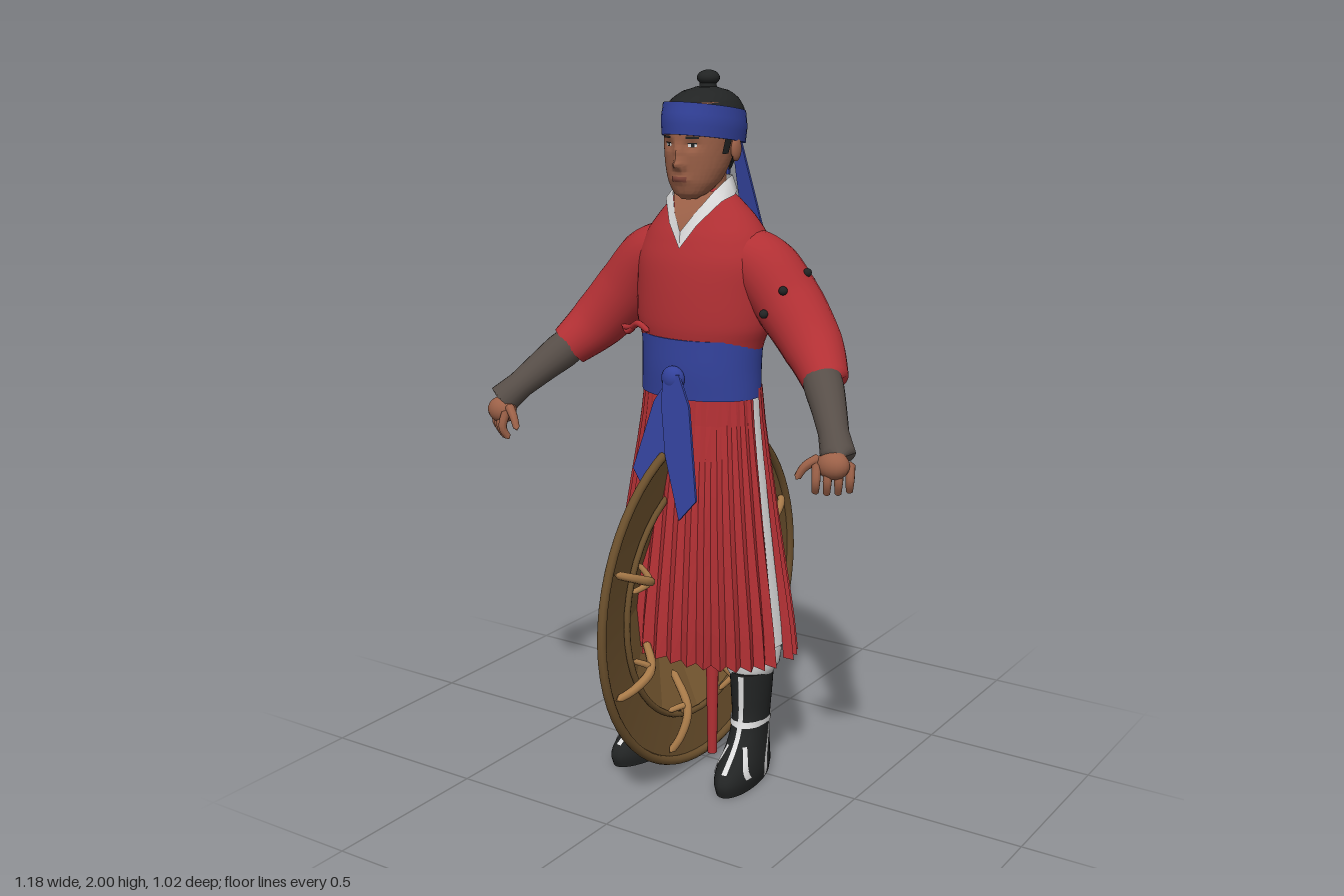
import * as THREE from 'three';
import { toCreasedNormals } from 'three/addons/utils/BufferGeometryUtils.js';

const mat = (name, color, side = THREE.FrontSide) => {
  const m = new THREE.MeshStandardMaterial({ color, side });
  m.name = name;
  return m;
};
const V = (x, y, z) => new THREE.Vector3(x, y, z);
const PI = Math.PI;
const bell = (x) => Math.exp(-x * x);

// Interpolate section rows [y, cx, cz, rx, rz] smoothly at height y
function section(rows, y) {
  let i = 0;
  while (i < rows.length - 2 && y > rows[i + 1][0]) i++;
  const f = (y - rows[i][0]) / (rows[i + 1][0] - rows[i][0]);
  const at = (k, c) => rows[Math.min(rows.length - 1, Math.max(0, k))][c];
  return [1, 2, 3, 4].map((c) => {
    const [p0, p1, p2, p3] = [at(i - 1, c), at(i, c), at(i + 1, c), at(i + 2, c)];
    return p1 + 0.5 * f * (p2 - p0 + f * (2 * p0 - 5 * p1 + 4 * p2 - p3 + f * (3 * (p1 - p2) + p3 - p0)));
  });
}

// Vertical loft of ellipses; angle 0 is the front, PI/2 is +x. A partial angle gives an open patch.
function loft(rows, o = {}) {
  const { y0 = rows[0][0], y1 = rows.at(-1)[0], a0 = -PI, a1 = PI, nu = 40, nv = 20, grow = 0, warp } = o;
  const closed = a1 - a0 > 2 * PI - 0.001;
  const cols = closed ? nu : nu + 1;
  const pos = [], idx = [];
  for (let i = 0; i <= nv; i++) {
    const y = y0 + (y1 - y0) * i / nv;
    const [cx, cz, rx, rz] = section(rows, y);
    for (let j = 0; j < cols; j++) {
      const a = a0 + (a1 - a0) * j / nu;
      const v = V(cx + (rx + grow) * Math.sin(a), y, cz + (rz + grow) * Math.cos(a));
      if (warp) warp(v, a, i / nv);
      pos.push(v.x, v.y, v.z);
    }
  }
  for (let i = 0; i < nv; i++) for (let j = 0; j < nu; j++) {
    const a = i * cols + j, b = i * cols + (j + 1) % cols;
    idx.push(a, b, b + cols, a, b + cols, a + cols);
  }
  if (closed && o.cap) for (const [row, y, flip] of [[0, y0, true], [nv, y1, false]]) {
    const [cx, cz] = section(rows, y), c = pos.length / 3;
    pos.push(cx, y, cz);
    for (let j = 0; j < nu; j++) {
      const a = row * cols + j, b = row * cols + (j + 1) % cols;
      idx.push(c, flip ? b : a, flip ? a : b);
    }
  }
  const g = new THREE.BufferGeometry();
  g.setAttribute('position', new THREE.Float32BufferAttribute(pos, 3));
  g.setIndex(idx);
  g.computeVertexNormals();
  return o.cap ? toCreasedNormals(g, 0.9) : g;
}

// Tube of varying radius with closed ends
function limb(points, radii, steps = 24, sides = 16) {
  const curve = new THREE.CatmullRomCurve3(points.map((p) => V(...p)));
  const g = new THREE.TubeGeometry(curve, steps, 1, sides);
  const p = g.attributes.position, v = V(0, 0, 0);
  for (let i = 0; i <= steps; i++) {
    const c = curve.getPointAt(i / steps), t = i / steps * (radii.length - 1);
    const k = Math.min(radii.length - 2, Math.floor(t));
    const r = i === 0 || i === steps ? 0 : THREE.MathUtils.lerp(radii[k], radii[k + 1], t - k);
    for (let j = 0; j <= sides; j++) {
      const n = i * (sides + 1) + j;
      v.fromBufferAttribute(p, n).sub(c).multiplyScalar(r).add(c);
      p.setXYZ(n, v.x, v.y, v.z);
    }
  }
  return g;
}

// Thin cloth plate from an outline, its depth z following height
function cloth(outline, zAt) {
  const g = new THREE.ExtrudeGeometry(new THREE.Shape(outline.map((p) => new THREE.Vector2(...p))), { depth: 0.008, bevelEnabled: false });
  const p = g.attributes.position;
  for (let i = 0; i < p.count; i++) p.setZ(i, p.getZ(i) + zAt(p.getY(i)));
  g.computeVertexNormals();
  return g;
}

// Strip between two polylines of equal length
function ribbon(a, b) {
  const g = new THREE.BufferGeometry(), idx = [];
  g.setAttribute('position', new THREE.Float32BufferAttribute([...a, ...b].flat(), 3));
  for (let i = 0; i < a.length - 1; i++) idx.push(i, i + 1, i + 1 + a.length, i, i + 1 + a.length, i + a.length);
  g.setIndex(idx);
  g.computeVertexNormals();
  return g;
}

export function createModel() {
  const red = mat('red cloth', 0xb23034, THREE.DoubleSide), blue = mat('blue cloth', 0x33429c, THREE.DoubleSide);
  const white = mat('white cloth', 0xdcdcdc, THREE.DoubleSide), black = mat('black', 0x222424, THREE.DoubleSide);
  const skin = mat('skin', 0x9c6148, THREE.DoubleSide), lip = mat('lips', 0x7e4438, THREE.DoubleSide);
  const wrap = mat('arm wrap', 0x574e48), wood = mat('shield wood', 0x6a4f2c, THREE.DoubleSide);
  const woodLight = mat('shield centre wood', 0x7c5c33, THREE.DoubleSide), stick = mat('light wood', 0xa97b49);

  const model = new THREE.Group();
  const add = (name, geo, m, parent = model) => {
    const mesh = new THREE.Mesh(geo, m);
    mesh.name = name;
    parent.add(mesh);
    return mesh;
  };
  const ball = (name, m, [x, y, z], [sx, sy, sz]) => add(name, new THREE.SphereGeometry(1, 20, 14).scale(sx, sy, sz).translate(x, y, z), m);

  // Jacket
  add('jacket', loft([[1.26, 0, 0.015, 0.18, 0.13], [1.32, 0, 0.012, 0.2, 0.14], [1.42, 0, 0.005, 0.205, 0.142],
    [1.5, 0, 0, 0.205, 0.135], [1.57, 0, -0.007, 0.178, 0.118], [1.62, 0, -0.008, 0.14, 0.093],
    [1.66, 0, -0.004, 0.1, 0.07], [1.69, 0, 0, 0.066, 0.06]], { nv: 28 }), red);
  add('jacketTie', limb([[-0.09, 1.3, 0.146], [-0.13, 1.32, 0.142], [-0.16, 1.305, 0.13], [-0.2, 1.3, 0.12]], [0.008, 0.01, 0.008], 12, 8), red);
  add('jacketTieEnd', limb([[-0.15, 1.305, 0.135], [-0.18, 1.29, 0.125], [-0.2, 1.31, 0.115]], [0.008, 0.008], 10, 8), red);

  // Collar and the bare skin inside it
  for (const s of [-1, 1]) {
    const m = ([x, y, z]) => [x * s, y, z];
    add('collar', ribbon(
      [[0, 1.535, 0.133], [0.045, 1.6, 0.113], [0.09, 1.66, 0.062], [0.092, 1.672, 0], [0.064, 1.678, -0.06], [0, 1.68, -0.078]].map(m),
      [[0, 1.58, 0.128], [0.03, 1.625, 0.108], [0.066, 1.685, 0.064], [0.07, 1.715, 0], [0.054, 1.72, -0.05], [0, 1.72, -0.064]].map(m)), white);
  }
  add('throat', ribbon([[0, 1.57, 0.125], [-0.032, 1.625, 0.105], [-0.066, 1.685, 0.06]],
    [[0, 1.57, 0.125], [0.032, 1.625, 0.105], [0.066, 1.685, 0.06]]), skin);
  add('neck', loft([[1.62, 0, 0.005, 0.068, 0.07], [1.69, 0, 0.005, 0.058, 0.06], [1.78, 0, 0.005, 0.058, 0.06]], { nv: 8 }), skin);

  // Arms and hands
  for (const s of [-1, 1]) {
    const m = (list) => list.map(([x, y, z]) => [x * s, y, z]);
    add('sleeve', limb(m([[0.08, 1.51, -0.01], [0.17, 1.485, -0.01], [0.27, 1.38, -0.005], [0.36, 1.28, 0.025], [0.43, 1.205, 0.08]]),
      [0.08, 0.095, 0.093, 0.082, 0.06], 40, 24), red);
    add('armWrap', limb(m([[0.39, 1.245, 0.055], [0.46, 1.17, 0.13], [0.52, 1.1, 0.2], [0.553, 1.06, 0.237]]), [0.05, 0.053, 0.046, 0.04, 0.047], 30, 18), wrap);
    ball('palm', skin, [s * 0.54, 1.042, 0.243], [0.045, 0.038, 0.035]);
    for (let k = 0; k < 4; k++) {
      const x = 0.505 + 0.023 * k, z = 0.27 - 0.018 * k;
      add('finger', limb(m([[x, 1.05, z - 0.005], [x + 0.006, 1, z + 0.008], [x - 0.004, 0.955 + 0.006 * Math.abs(k - 1.5), z - 0.008]]), [0.013, 0.012, 0.009], 10, 8), skin);
    }
    add('thumb', limb(m([[0.51, 1.06, 0.25], [0.475, 1.035, 0.272], [0.455, 1, 0.282]]), [0.014, 0.012, 0.009], 10, 8), skin);
  }
  for (const p of [[0.312, 1.478, -0.015], [0.276, 1.44, -0.1], [0.29, 1.44, 0.075], [0.235, 1.375, -0.1], [0.24, 1.375, 0.09]])
    ball('sleeveBead', black, p, [0.012, 0.012, 0.012]);

  // Belt and sash
  add('belt', loft([[1.125, 0, 0.022, 0.18, 0.13], [1.2, 0, 0.022, 0.178, 0.134], [1.29, 0, 0.018, 0.181, 0.135]], { cap: true, nv: 6 }), blue);
  add('sashTail', cloth([[0.0, 1.2], [-0.05, 1.12], [-0.1, 0.93], [-0.065, 0.885], [0, 0.98], [0.035, 1.14]], (y) => 0.165 + (1.2 - y) * 0.16), blue);
  add('sashTail', cloth([[-0.02, 1.2], [0.03, 1.2], [0.07, 1.12], [0.115, 0.87], [0.065, 0.81], [0.005, 0.98], [-0.02, 1.12]], (y) => 0.175 + (1.2 - y) * 0.14), blue);
  ball('sashKnot', blue, [0, 1.185, 0.165], [0.035, 0.035, 0.025]);

  // Pleated skirt, open at the left side over a white lining
  const skirt = [[0.4, 0, 0.02, 0.275, 0.208], [0.8, 0, 0.018, 0.222, 0.165], [1.15, 0, 0.015, 0.178, 0.12]];
  const pleats = 36;
  add('skirt', loft(skirt, {
    a0: 1.6, a1: 1.4 + 2 * PI, nu: pleats * 2, nv: 8,
    warp: (v, a, t) => {
      const odd = Math.round((a - 1.6) / (2 * PI - 0.2) * pleats * 2) % 2;
      const k = 1 + (odd ? 0.075 : -0.02) * (1 - 0.85 * t);
      v.x *= k;
      v.z *= k;
      v.y -= (1 - t) * (0.02 * Math.sin(a) + (odd ? 0.008 : 0));
    },
  }).toNonIndexed(), red).geometry.computeVertexNormals();
  add('skirtLining', loft(skirt, { a0: 1.2, a1: 1.85, nu: 8, nv: 6, y0: 0.42, grow: -0.008 }), white);

  // Trousers and boots
  const bootRows = [[0, 0, 0.06, 0.055, 0.142], [0.03, 0, 0.062, 0.06, 0.148], [0.06, 0, 0.056, 0.058, 0.138], [0.1, 0, 0.03, 0.053, 0.107],
    [0.14, 0, 0.013, 0.051, 0.083], [0.19, 0, 0.004, 0.052, 0.072], [0.26, 0, 0.002, 0.057, 0.073], [0.325, 0, 0.002, 0.061, 0.075]];
  for (const s of [-1, 1]) {
    add('trouserLeg', loft([[0.3, s * 0.155, 0, 0.055, 0.065], [0.335, s * 0.155, -0.005, 0.075, 0.082], [0.38, s * 0.152, -0.01, 0.083, 0.09],
      [0.46, s * 0.145, -0.005, 0.078, 0.088], [1.1, s * 0.08, 0, 0.075, 0.09]],
      { nv: 40, warp: (v, a) => { v.z += 0.004 * Math.sin(v.y * 130 + a * 2); } }), white);
    const boot = new THREE.Group();
    boot.name = 'boot';
    boot.position.set(s * 0.158, 0, 0);
    boot.rotation.y = s * 0.13;
    model.add(boot);
    add('bootBody', loft(bootRows, { cap: true, nv: 26 }), black, boot);
    const trim = (a0, a1, y0, y1, nu = 6) => add('bootTrim', loft(bootRows, { a0, a1, y0, y1, nu, nv: 14, grow: 0.003 }), white, boot);
    trim(-0.13, 0.13, 0.065, 0.32);
    trim(-PI, PI, 0.165, 0.182, 40);
    trim(PI - 0.1, PI + 0.1, 0.02, 0.32);
    for (const d of [-1, 1]) {
      trim(d * 1.75 - 0.1, d * 1.75 + 0.1, 0.01, 0.17);
      add('bootTrim', loft(bootRows, { a0: -0.1, a1: 0.1, y0: 0.04, y1: 0.12, nu: 4, nv: 12, grow: 0.003,
        warp: (v, a, t) => {
          const [cx, cz, rx, rz] = section(bootRows, v.y), b = a + d * (1.05 - 0.55 * t);
          v.x = cx + (rx + 0.003) * Math.sin(b);
          v.z = cz + (rz + 0.003) * Math.cos(b);
        } }), white, boot);
    }
  }

  // Head with nose, eye sockets and mouth
  const headRows = [[1.665, 0, 0.08, 0.022, 0.026], [1.68, 0, 0.073, 0.048, 0.045], [1.71, 0, 0.055, 0.07, 0.073], [1.75, 0, 0.042, 0.084, 0.09],
    [1.8, 0, 0.028, 0.092, 0.108], [1.86, 0, 0.01, 0.096, 0.125], [1.92, 0, 0.005, 0.085, 0.115]];
  const face = (v, a) => {
    if (Math.cos(a) <= 0) return;
    const { x, y } = v;
    v.z += 0.022 * bell(x / 0.015) * bell((y - 1.757) / 0.014) + 0.012 * bell(x / 0.012) * bell((y - 1.787) / 0.024)
      - 0.009 * bell((Math.abs(x) - 0.036) / 0.018) * bell((y - 1.81) / 0.013) + 0.007 * bell(x / 0.025) * bell((y - 1.72) / 0.01);
  };
  add('head', loft(headRows, { nu: 80, nv: 60, warp: face, cap: true }), skin);
  const facePatch = (name, m, a0, a1, y0, y1, grow) => add(name, loft(headRows, { a0, a1, y0, y1, grow, nu: 12, nv: 4, warp: face }), m);
  facePatch('mouth', lip, -0.3, 0.3, 1.713, 1.727, 0.002);
  for (const s of [-1, 1]) {
    const span = (a, w) => [s * a - w, s * a + w];
    facePatch('eye', white, ...span(0.4, 0.12), 1.806, 1.813, 0.002);
    facePatch('iris', black, ...span(0.4, 0.05), 1.805, 1.814, 0.003);
    facePatch('eyelid', black, ...span(0.4, 0.13), 1.813, 1.816, 0.003);
    facePatch('eyebrow', black, ...span(0.42, 0.18), 1.827, 1.833, 0.003);
    facePatch('sideburn', black, ...span(1.42, 0.12), 1.785, 1.86, 0.004);
    ball('ear', skin, [s * 0.096, 1.795, 0.0], [0.012, 0.033, 0.02]);
  }

  // Hair, topknot and headband
  add('backHair', loft(headRows, { a0: 1.72, a1: 2 * PI - 1.72, y0: 1.742, y1: 1.87, grow: 0.009, nv: 8 }), black);
  add('hairCap', loft([[1.85, 0, 0.008, 0.1, 0.131], [1.895, 0, 0.006, 0.099, 0.127], [1.925, 0, 0.003, 0.083, 0.106],
    [1.945, 0, 0, 0.058, 0.073], [1.956, 0, 0, 0.025, 0.03]], { cap: true }), black);
  add('topknotStem', new THREE.CylinderGeometry(0.02, 0.026, 0.03, 16).translate(0, 1.962, -0.01), black);
  ball('topknot', black, [0, 1.979, -0.012], [0.031, 0.021, 0.031]);
  add('headband', loft([[1.818, 0, 0.01, 0.104, 0.133], [1.86, 0, 0.008, 0.107, 0.137], [1.903, 0, 0.006, 0.102, 0.132]],
    { cap: true, nv: 6, warp: (v, a) => { v.y += 0.02 * Math.cos(a); } }), blue);
  ball('headbandKnot', blue, [0, 1.838, -0.135], [0.024, 0.028, 0.016]);
  const tailDepth = (y) => -0.143 - (1.84 - y) * 0.13;
  add('headbandTail', cloth([[-0.008, 1.84], [0.015, 1.84], [0.075, 1.57], [0.012, 1.55]], tailDepth), blue);
  add('headbandTail', cloth([[-0.015, 1.84], [0.008, 1.84], [-0.035, 1.6], [-0.095, 1.63]], (y) => tailDepth(y) + 0.012), blue);

  // Round shield, domed toward -x, with lashed sticks inside
  const shield = new THREE.Group();
  shield.name = 'shield';
  shield.position.set(-0.008, 0.52, 0);
  model.add(shield);
  const disc = (profile, sides) => new THREE.LatheGeometry(profile.map((p) => new THREE.Vector2(...p)), sides).rotateZ(PI / 2);
  add('shieldBrim', disc([[0.365, 0.022], [0.43, 0.012], [0.5, 0]], 64), wood, shield);
  add('shieldDome', toCreasedNormals(disc([[0.001, 0.115], [0.12, 0.108], [0.2, 0.092], [0.37, 0.02]], 12), 0.1), woodLight, shield);
  add('shieldRim', new THREE.TorusGeometry(0.497, 0.013, 10, 64).rotateY(PI / 2), wood, shield);
  add('shieldHoop', new THREE.TorusGeometry(0.365, 0.009, 8, 48).rotateY(PI / 2).translate(-0.012, 0, 0), wood, shield);
  for (let k = 0; k < 8; k++) {
    const a = PI / 8 + k * PI / 4;
    const at = (r, x, d = 0) => [x, r * Math.sin(a + d), r * Math.cos(a + d)];
    add('shieldStick', limb([at(0.475, 0.0), at(0.42, 0.026), at(0.34, 0.03), at(0.24, -0.05)], [0.011, 0.013, 0.013, 0.011], 16, 8), stick, shield);
    add('shieldLashing', limb([at(0.36, -0.01, -0.12), at(0.33, 0.022, 0), at(0.36, -0.01, 0.12)], [0.008, 0.01, 0.008], 10, 8), stick, shield);
  }
  add('shieldGrip', new THREE.CylinderGeometry(0.022, 0.014, 0.5, 14).translate(0.03, -0.25, 0), red, shield);
  return model;
}
